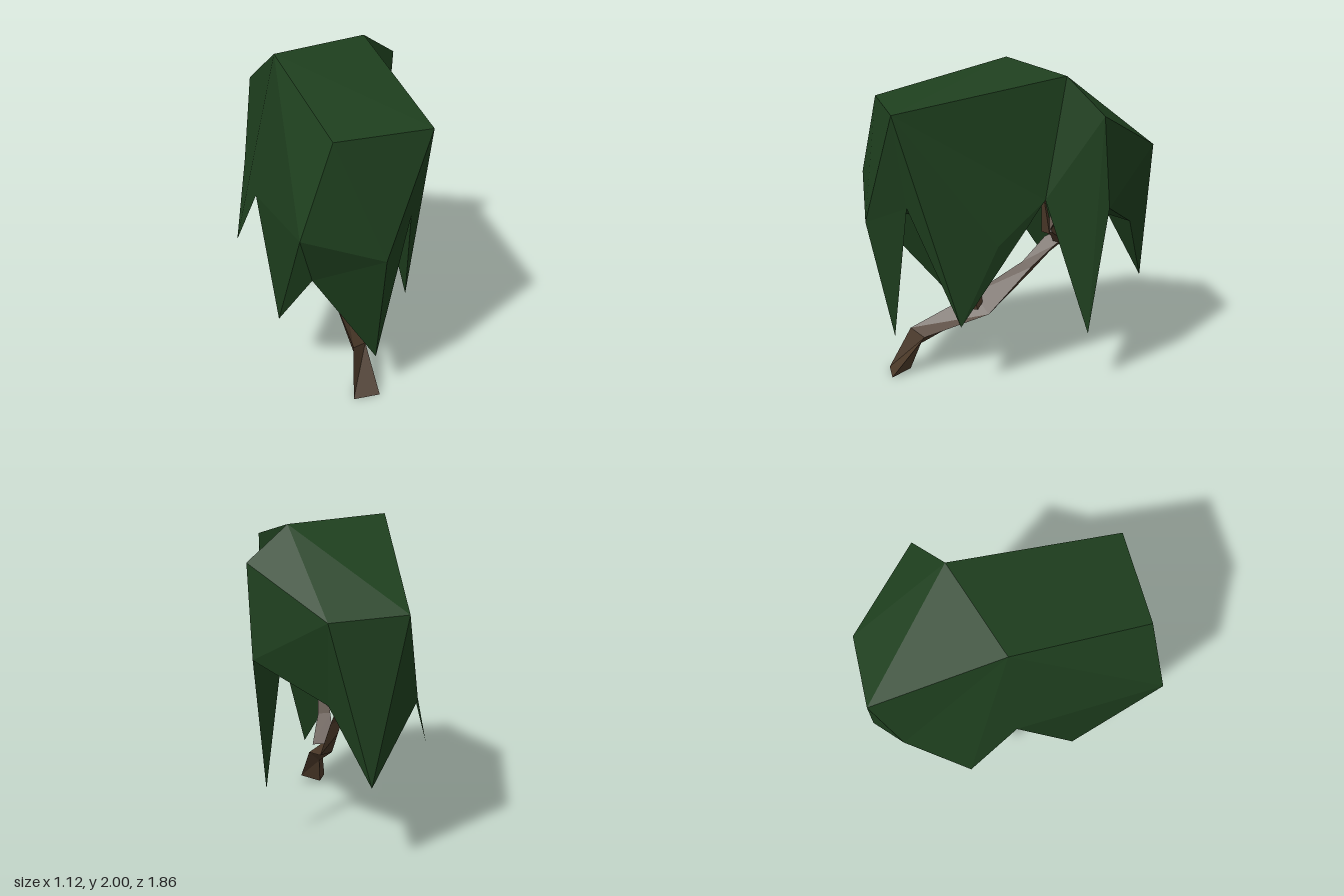
import * as THREE from 'three';

const leafGreen = new THREE.MeshStandardMaterial({ color: 0x1e3f1e, flatShading: true, side: THREE.DoubleSide });
leafGreen.name = 'leaf green';
const barkBrown = new THREE.MeshStandardMaterial({ color: 0x4a3828, flatShading: true, side: THREE.DoubleSide });
barkBrown.name = 'bark brown';

// Corner points of the canopy
const corners = {
  // roof
  A: [-0.36, 2.0, -0.07], B: [0.29, 1.97, -0.27], C: [-0.3, 1.8, 0.8], D: [0.3, 1.79, 0.8],
  E: [0.56, 1.77, -0.42], F: [-0.29, 1.52, -0.9], G: [0.18, 1.49, -0.89],
  // front brow
  I: [-0.52, 1.26, 0.87], J: [-0.02, 1.06, 0.93],
  // hanging tips
  K: [-0.01, 0.28, 0.77], L: [-0.5, 0.4, 0.35], H: [-0.565, 0.59, -0.37],
  M: [-0.07, 0.52, -0.93], N: [0.455, 0.36, -0.38], R: [0.335, 0.44, 0.41],
  // notches between the tips
  U: [-0.42, 0.93, 0.78], P: [-0.51, 1.08, -0.05], Q: [-0.39, 0.98, -0.75], T: [0.15, 0.98, -0.76],
  S: [0.54, 1.2, -0.47], W: [0.3, 1.21, -0.14], V: [0.22, 1.2, 0.71],
  X: [0.34, 0.95, 0.17],
  // middle of the underside
  O: [0, 1.25, 0],
};

// Flat-shaded mesh from a flat list of triangle corners
function facetMesh(name, pos, material) {
  const geo = new THREE.BufferGeometry();
  geo.setAttribute('position', new THREE.Float32BufferAttribute(pos, 3));
  geo.computeVertexNormals();
  const mesh = new THREE.Mesh(geo, material);
  mesh.name = name;
  return mesh;
}

// Canopy part from panels, each a fan around its first corner
function panelMesh(name, panels) {
  const pos = [];
  for (const p of panels) {
    for (let i = 1; i < p.length - 1; i++) {
      pos.push(...corners[p[0]], ...corners[p[i]], ...corners[p[i + 1]]);
    }
  }
  return facetMesh(name, pos, leafGreen);
}

// Three-sided wooden part skinned over triangular rings
function skin(name, rings) {
  const pos = [];
  for (let i = 0; i < rings.length - 1; i++) {
    const a = rings[i], b = rings[i + 1];
    for (let k = 0; k < 3; k++) {
      const n = (k + 1) % 3;
      pos.push(...a[k], ...a[n], ...b[n], ...a[k], ...b[n], ...b[k]);
    }
  }
  const first = rings[0], last = rings[rings.length - 1];
  pos.push(...first[0], ...first[2], ...first[1], ...last[0], ...last[1], ...last[2]);
  return facetMesh(name, pos, barkBrown);
}

// Tapering limb through [x, y, z, radius] stations
function limb(name, stations) {
  const pts = stations.map(s => new THREE.Vector3(s[0], s[1], s[2]));
  const end = pts.length - 1;
  const rings = pts.map((p, i) => {
    const t = pts[Math.min(i + 1, end)].clone().sub(pts[Math.max(i - 1, 0)]).normalize();
    const u = new THREE.Vector3(1, 0, 0).addScaledVector(t, -t.x).normalize();
    const v = new THREE.Vector3().crossVectors(t, u);
    return [0, 1, 2].map(k => {
      const a = k * Math.PI * 2 / 3, r = stations[i][3];
      return p.clone().addScaledVector(u, Math.cos(a) * r).addScaledVector(v, Math.sin(a) * r).toArray();
    });
  });
  return skin(name, rings);
}

export function createModel() {
  const tree = new THREE.Group();
  tree.name = 'weepingTree';

  const canopy = new THREE.Group();
  canopy.name = 'canopy';
  canopy.add(
    panelMesh('canopyRoof', ['ACDB', 'BEGFA']),
    panelMesh('canopyFront', ['CIJD', 'JIUK', 'ILU']),
    panelMesh('canopyRightSide', ['ICAPL', 'AFQHP']),
    panelMesh('canopyLeftSide', ['DJVRXWB', 'JKV', 'EBWNS']),
    panelMesh('canopyBack', ['GESTMF', 'FMQ']),
    panelMesh('canopyInnerFlaps', ['LPU', 'HQP', 'MTQ', 'NWS', 'RVWX', 'KUV']),
    panelMesh('canopyUnderside', ['OUPQTSWVU']),
  );

  const wood = new THREE.Group();
  wood.name = 'wood';
  wood.add(
    // leaning trunk: ridge, left edge and lower edge of each ring
    skin('trunk', [
      [[-0.16, 0, 0.79], [0.01, 0, 0.8], [-0.1, 0, 0.66]],
      [[-0.11, 0.285, 0.65], [-0.005, 0.25, 0.58], [-0.08, 0.18, 0.59]],
      [[-0.12, 0.48, 0.22], [0.005, 0.37, 0.15], [-0.08, 0.38, 0.17]],
      [[-0.07, 0.69, -0.1], [0, 0.67, -0.14], [-0.05, 0.61, -0.14]],
      [[-0.07, 0.85, -0.25], [0, 0.81, -0.3], [-0.05, 0.75, -0.28]],
      [[-0.06, 1.02, -0.62], [-0.04, 1.01, -0.62], [-0.05, 1.0, -0.62]],
    ]),
    // front branch and its twig
    limb('frontBranch', [[-0.05, 0.42, 0.23, 0.09], [-0.06, 0.62, 0.29, 0.05], [-0.06, 0.95, 0.39, 0.035], [0, 1.15, 0.46, 0.015]]),
    limb('frontTwig', [[-0.06, 0.93, 0.38, 0.035], [-0.06, 1.04, 0.06, 0.006]]),
    // side branch forking in two, and a short stub
    limb('sideBranch', [[-0.04, 0.82, -0.35, 0.045], [0.1, 0.92, -0.27, 0.032], [0.22, 1.0, -0.18, 0.04]]),
    limb('sideTwigFront', [[0.22, 0.98, -0.18, 0.04], [0.25, 1.22, -0.14, 0.012]]),
    limb('sideTwigBack', [[0.22, 0.99, -0.18, 0.035], [0.22, 1.24, -0.33, 0.008]]),
    limb('trunkStub', [[-0.04, 0.82, -0.34, 0.035], [-0.03, 0.96, -0.38, 0.015]]),
  );

  tree.add(canopy, wood);
  return tree;
}
